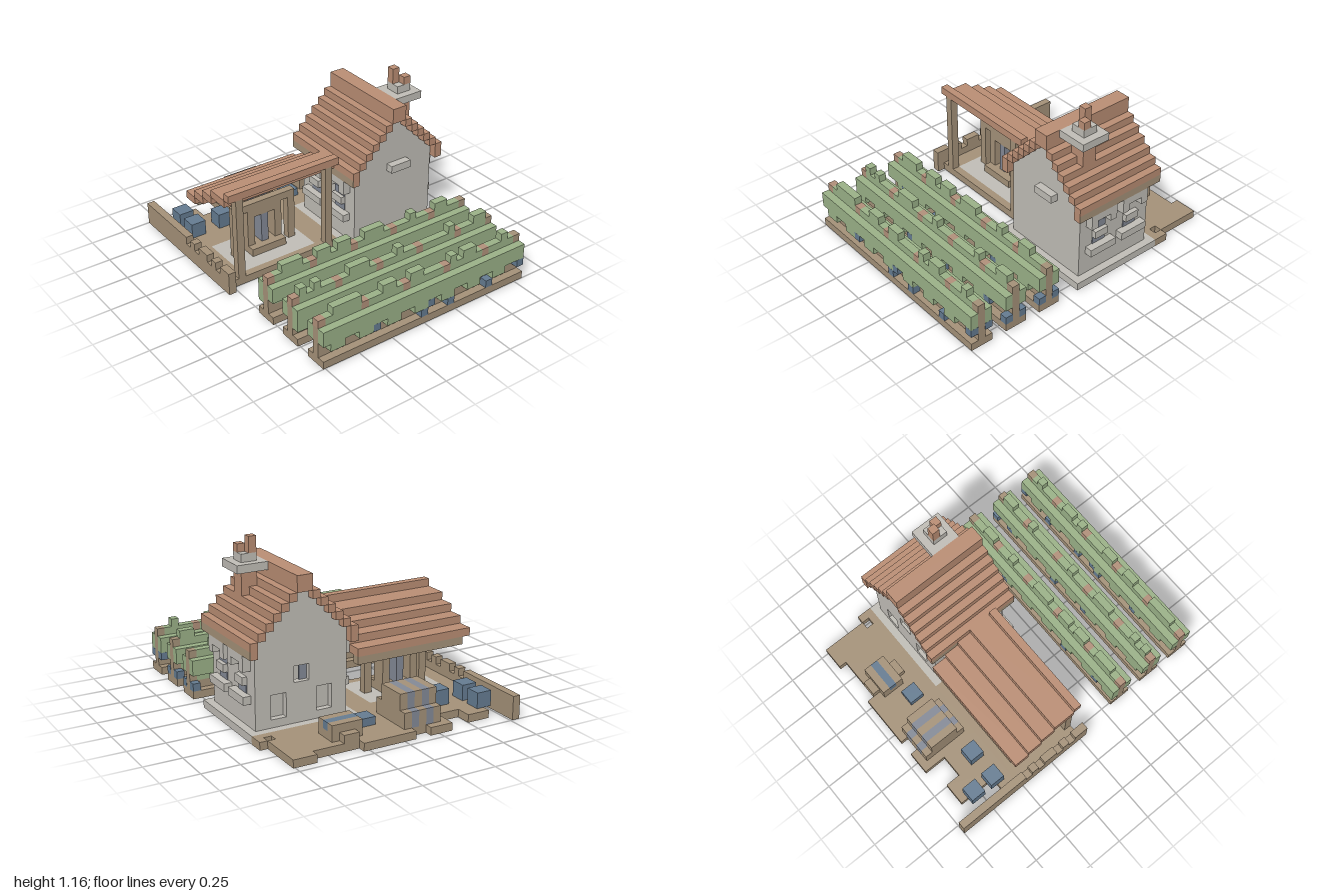
import * as THREE from 'three';

// Everything is laid out on a block grid: 31 wide, 38 deep, one block = V units.
const V = 2 / 38;
const mat = (name, color) => {
  const m = new THREE.MeshStandardMaterial({ color });
  m.name = name;
  return m;
};

export function createModel() {
  const tile = mat('clay tile', 0xbc8f75);
  const wood = mat('weathered wood', 0xa6937a);
  const leaf = mat('vine green', 0x9cb389);
  const stone = mat('pale stone', 0xc2bfb8);
  const blue = mat('grape blue', 0x667d93);
  const glass = mat('grey glass', 0x858b98);
  const stake = mat('vine stake', 0xb3927c);

  const root = new THREE.Group();
  root.name = 'farmstead';
  const grid = new THREE.Group();
  grid.name = 'blocks';
  grid.scale.setScalar(V);
  grid.position.set(-15.5 * V, 0, -19 * V);
  root.add(grid);
  let parent = grid;

  const section = (name) => {
    parent = new THREE.Group();
    parent.name = name;
    grid.add(parent);
  };
  const add = (name, m, geo) => {
    const mesh = new THREE.Mesh(geo, m);
    mesh.name = name;
    parent.add(mesh);
    return mesh;
  };
  // Box from grid limits
  const box = (name, m, x0, x1, y0, y1, z0, z1) =>
    add(name, m, new THREE.BoxGeometry(x1 - x0, y1 - y0, z1 - z0))
      .position.set((x0 + x1) / 2, (y0 + y1) / 2, (z0 + z1) / 2);
  const rect = (path, [x0, x1, y0, y1]) =>
    path.moveTo(x0, y0).lineTo(x1, y0).lineTo(x1, y1).lineTo(x0, y1).closePath();
  // One-block panel with rectangular openings
  const panel = (shape, holes) => {
    for (const h of holes) shape.holes.push(rect(new THREE.Path(), h));
    return new THREE.ExtrudeGeometry(shape, { depth: 1, bevelEnabled: false });
  };
  // Ground layer (y 0..1) with openings, limits given in x and z
  const slab = (name, m, limits, ...holes) => {
    const geo = panel(rect(new THREE.Shape(), limits), holes);
    add(name, m, geo.rotateX(Math.PI / 2)).position.y = 1;
  };

  // ---- House: hollow, open underneath ----
  section('house');
  slab('foundation', stone, [17, 31, 9, 22], [19, 29, 11, 20]);
  const gable = (name, z, holes) => {
    const s = new THREE.Shape();
    s.moveTo(18, 1);
    s.lineTo(30, 1);
    for (let n = 0; n < 5; n++) {
      s.lineTo(30 - n, 12 + n);
      s.lineTo(29 - n, 12 + n);
    }
    s.lineTo(25, 17);
    s.lineTo(23, 17);
    for (let n = 4; n >= 0; n--) {
      s.lineTo(19 + n, 12 + n);
      s.lineTo(18 + n, 12 + n);
    }
    add(name, stone, panel(s, holes)).position.z = z;
  };
  gable('frontGable', 20, []);
  gable('backGable', 10, [[23, 25, 6, 8], [20, 22, 2, 5], [26, 28, 2, 5]]);
  box('frontLedge', stone, 23, 26, 10, 11, 21, 22);
  box('backPane', glass, 23, 24, 6, 8, 10.6, 10.8);
  for (const x of [20, 26]) box('backNiche', stone, x, x + 2, 2, 5, 10.8, 11);

  // Side walls, each with two framed windows
  for (const side of [-1, 1]) {
    const X = (d0, d1) => side > 0 ? [24 + d0, 24 + d1] : [24 - d1, 24 - d0];
    box('sideWall', stone, ...X(5, 6), 1, 10, 11, 20);
    for (const k of [11, 16]) {
      box('lintel', stone, ...X(6, 7), 9, 10, k, k + 4);
      for (const e of [k, k + 3]) box('lintelEnd', stone, ...X(6, 7), 8, 9, e, e + 1);
      box('sill', stone, ...X(6, 7), 4, 5, k, k + 4);
      if (k === 16) box('upperPane', glass, ...X(6, 6.1), 7, 8, k + 1, k + 3);
      box('lowerPane', glass, ...X(6, 6.1), 5, 6, k + 1, k + 3);
      box('windowBar', stone, ...X(6, 6.6), 6, 7, k + 1, k + 3);
    }
    // Stepped roof tiles
    for (let n = 1; n < 6; n++) box('roofTile', tile, ...X(6 - n, 7 - n), 11 + n, 12 + n, 9, 22);
    box('eave', tile, ...X(6, 6.9), 10, 12, 9, 22);
    box('eaveTrim', tile, ...X(6.9, 7), 11, 12, 9, 22);
    box('eaveBoard', wood, ...X(6.9, 7), 10, 11, 9, 22);
  }
  box('ridge', tile, 23, 25, 17, 19, 9, 22);

  // ---- Chimney ----
  section('chimney');
  box('shaft', tile, 26, 28, 13, 18, 17, 19);
  box('cap', stone, 25, 29, 18, 19, 16, 20);
  box('collar', stone, 26, 28, 19, 20, 17, 19);
  box('tallPot', tile, 26, 27, 20, 22, 17, 18);
  box('shortPot', tile, 27, 28, 20, 21, 18, 19);

  // ---- Lean-to ----
  section('leanTo');
  const bands = [[9, 11], [11, 13], [13, 15], [15, 18], [18, 19]];
  bands.forEach(([z0, z1], n) => box('leanToTile', tile, 1, 17, 8 + n, 9 + n, z0, z1));
  for (const x of [2, 15]) box('frontPost', wood, x, x + 1, 1, 12, 18, 19);
  box('backBeam', wood, 2, 17, 7, 8, 9.05, 10);
  slab('floorBoards', wood, [1, 17, 9, 19], [3, 14, 11, 18]);
  slab('paving', stone, [3, 14, 11, 18], [6, 11, 12, 16]);
  // Press: glass column inside a tall wooden frame
  box('pressBase', wood, 6, 11, 1, 2, 12, 16);
  box('pressColumn', glass, 8, 9, 2, 6, 13, 15);
  for (const x of [6, 10]) box('pressCheek', wood, x, x + 1, 2, 6, 13, 15);
  box('pressTop', wood, 6, 11, 6, 7, 13, 15);
  for (const x of [4, 12]) box('framePost', wood, x, x + 1, 1, 7, 14, 15);
  box('frameBeam', wood, 4, 13, 7, 8, 14, 15);

  // ---- Yard deck with a ragged back edge ----
  section('yard');
  const strips = [[3, 6, 2], [6, 9, 4], [9, 12, 1], [12, 14, 2], [21, 27, 2], [27, 29, 1]];
  for (const [x0, x1, z0] of strips) box('deck', wood, x0, x1, 0, 1, z0, 9);
  slab('deck', wood, [14, 21, 1, 9], [17, 19, 5, 7]);
  box('deckLeftEdge', wood, 1, 3, 0, 1, 7, 9);
  box('deckCorner', wood, 29, 30, 0, 1, 1, 7);
  box('deckCorner', wood, 29, 30, 0, 1, 8, 9);
  box('deckTab', wood, 30, 31, 0, 1, 7, 9);

  // Domed cask with grey bands
  for (let n = 0; n < 5; n++) {
    const m = n % 2 ? glass : wood;
    box('caskBody', m, 10 + n, 11 + n, 1, 3, 2, 8);
    box('caskTop', m, 10 + n, 11 + n, 3, 5, 3, 7);
  }

  // Fruit crates
  for (const [x, z, h] of [[2, 3, 3], [2, 6, 3], [6, 6, 3], [17, 5, 2]])
    box('crate', blue, x, x + 2, 1, h, z, z + 2);

  // Trough
  box('troughBase', wood, 20, 24, 1, 2, 3, 6);
  for (const z of [3, 5]) box('troughSide', wood, 20, 24, 2, 3, z, z + 1);
  box('troughFill', blue, 20, 24, 2, 3, 4, 5);
  for (const z of [2, 6]) box('troughStep', wood, 21, 23, 1, 2, z, z + 1);

  // Fence: solid at the back, notched toward the front
  box('fence', wood, 0, 1, 0, 2, 0, 20);
  for (const [z0, z1] of [[0, 10], [11, 12], [13, 15], [16, 17], [18, 20]])
    box('fenceBlock', wood, 0, 1, 2, 3, z0, z1);

  // ---- Vine rows ----
  const stakes = [1, 7, 13, 19, 25, 30];
  const tops = [
    [[3, 6], [8, 10], [11, 13], [15, 18], [22, 23], [26, 28]],
    [[2, 3], [4, 5], [9, 12], [16, 17], [24, 25], [28, 30]],
    [[3, 7], [10, 12], [14, 16], [20, 21], [22, 24], [28, 29]],
  ];
  const grapes = [
    [[4, 2], [10, 1], [22, 2], [30, 1]],
    [[12, 2], [18, 1], [27, 2], [30, 1]],
    [[8, 2], [15, 1], [16, 2], [19, 1], [25, 1], [30, 2]],
  ];
  [25, 30, 35].forEach((z, r) => {
    section('vineRow');
    box('soilRidge', wood, 1, 31, 1, 2, z + 1, z + 2);
    stakes.forEach((x, n) => {
      box('stake', wood, x, x + 1, 0, 5, z + 1, z + 2);
      box('stakeTop', n === 5 ? wood : stake, x, x + 1, 5, 6, z + 1, z + 2);
      if (n < 5) box('vineCore', leaf, x + 1, stakes[n + 1], 2, 6, z + 1, z + 2);
    });
    for (const [x0, x1] of tops[r]) box('vineTop', leaf, x0, x1, 6, 7, z + 1, z + 2);
    for (const s of [0, 2]) {
      const z0 = z + s;
      box('bedRail', wood, 1, 31, 0, 1, z0, z0 + 1);
      box('foliage', leaf, 1, 31, 3, 5, z0, z0 + 1);
      for (let x = 1 + ((r + s) % 3); x < 29; x += 4) box('hangingLeaf', leaf, x, x + 2, 2, 3, z0, z0 + 1);
      // Grape bunches, a hair proud of the leaves
      for (const [x, y] of grapes[r]) box('grapes', blue, x, x + 1.01, y, y + 1, z0 - 0.01, z0 + 1.01);
    }
  });
  return root;
}
